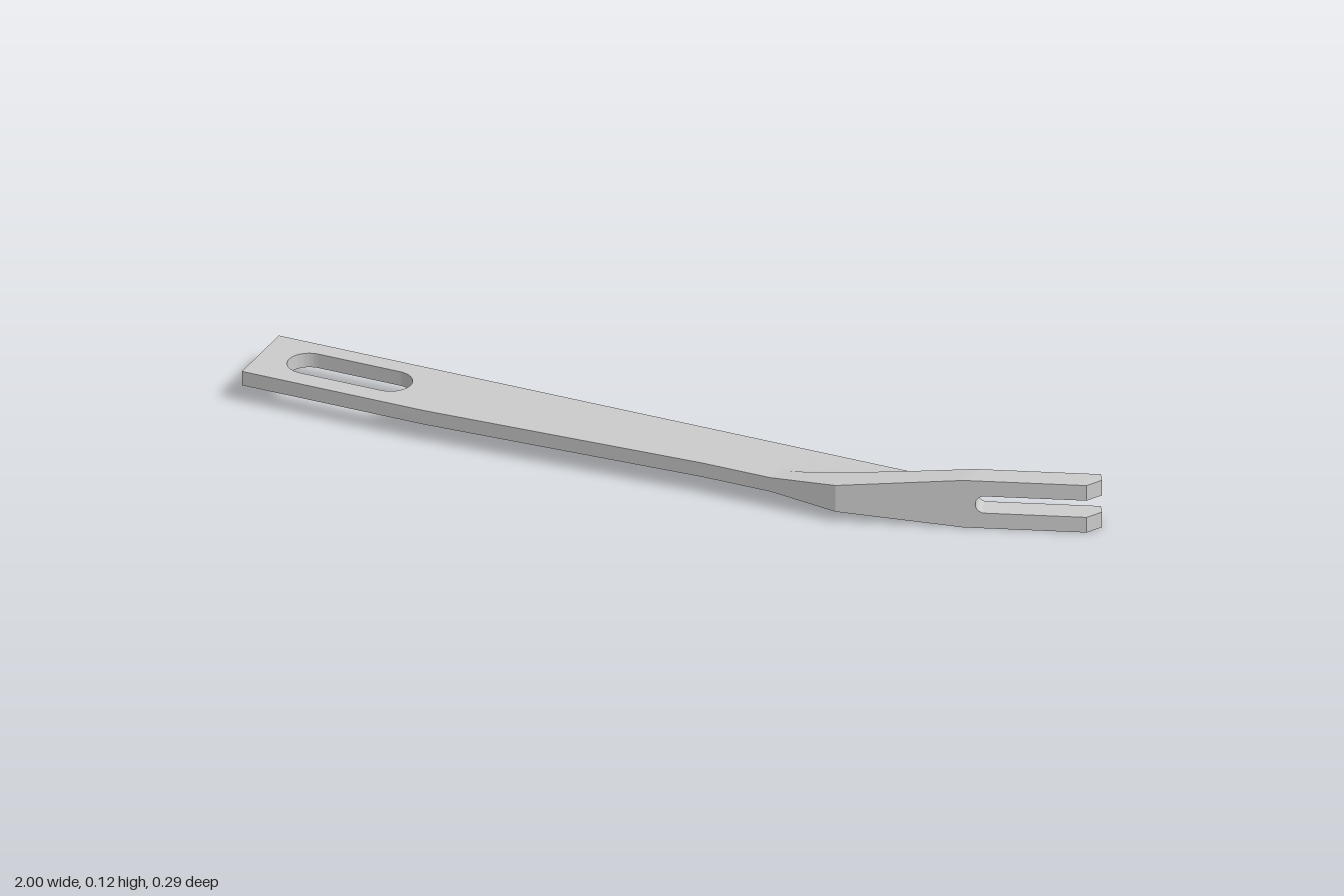
import * as THREE from 'three';
import { toCreasedNormals } from 'three/addons/utils/BufferGeometryUtils.js';

const MID = 0.059;        // height of the symmetry plane
const THIN = 0.0175;      // half thickness of the flat bar
const TALL = 0.059;       // half height of the fork
const R = TALL - THIN;    // fillet radius between bar and fork
const ANGLE = THREE.MathUtils.degToRad(20);
const BACK = -0.0485, FRONT = 0.112, BEND = 0.45, TAPER = 0.29, ROOT = 0.72;
const DEPTH = 0.058;      // fork thickness
const FORK_START = 0.3086, FORK_END = 0.564;

const material = new THREE.MeshStandardMaterial({ color: 0xcccccc });

function part(name, geometry) {
  const mesh = new THREE.Mesh(toCreasedNormals(geometry, 0.3), material);
  mesh.name = name;
  return mesh;
}

// Flat bar with a long slot
function flatBar() {
  const s = new THREE.Shape([
    [-1, BACK], [TAPER, BACK], [TAPER, FRONT], [0.12, FRONT], [-0.55, 0.145], [-1, 0.145],
  ].map(([x, z]) => new THREE.Vector2(x, z)));
  const slot = new THREE.Path();
  slot.absarc(-0.68, 0.046, 0.05, -Math.PI / 2, Math.PI / 2, false);
  slot.absarc(-0.88, 0.046, 0.05, Math.PI / 2, Math.PI * 1.5, false);
  slot.closePath();
  s.holes.push(slot);
  const g = new THREE.ExtrudeGeometry(s, { depth: 2 * THIN, bevelEnabled: false, curveSegments: 16 });
  g.rotateX(Math.PI / 2).translate(0, MID + THIN, 0);
  return part('flatBar', g);
}

// Flaring neck: cross-sections along x with a concave fillet towards the bar
function flaredNeck() {
  const STEPS = 10;
  const tan = Math.tan(ANGLE), cos = Math.cos(ANGLE);
  const section = (x) => {
    const rise = R * Math.min(1, (x - TAPER) / (ROOT - TAPER));
    const ridge = BACK + (ROOT - x) * tan;            // plane of the fork's back
    const reach = Math.max(0, (ridge - BACK) * cos);  // room left for the fillet
    const a0 = Math.asin(Math.max(0, 1 - rise / R));
    const a1 = Math.max(a0, Math.acos(Math.max(0, 1 - reach / R)));
    const top = [[x, THIN + rise, FRONT - Math.max(0, x - BEND) * tan]];
    for (let k = 0; k <= STEPS; k++) {
      const a = a0 + (a1 - a0) * k / STEPS;
      const z = ridge - R * (1 - Math.cos(a)) / cos;
      top.push([x, THIN + R * (1 - Math.sin(a)), Math.max(BACK, z)]);
    }
    top.push([x, top[STEPS + 1][1], BACK]);
    return top;
  };
  const sections = [];
  for (let i = 0; i < 10; i++) sections.push(section(TAPER + (BEND - TAPER) * (i / 10) ** 1.5));
  for (let i = 0; i <= 16; i++) sections.push(section(BEND + (ROOT - BEND) * i / 16));
  // last section is square to the fork
  const last = sections[sections.length - 1].map((p) => [...p]);
  last[0] = [BEND + FORK_START * cos, TALL, FRONT - FORK_START * Math.sin(ANGLE)];
  sections.push(last);

  const loops = sections.map((top) => [...top, ...top.map(([x, y, z]) => [x, -y, z]).reverse()]);
  const n = loops[0].length, pos = [], index = [];
  loops.forEach((loop) => loop.forEach(([x, y, z]) => pos.push(x, y + MID, z)));
  for (let i = 0; i < loops.length - 1; i++) {
    for (let j = 0; j < n; j++) {
      const a = i * n + j, b = i * n + (j + 1) % n;
      index.push(a, a + n, b, b, a + n, b + n);
    }
  }
  const g = new THREE.BufferGeometry();
  g.setAttribute('position', new THREE.Float32BufferAttribute(pos, 3));
  g.setIndex(index);
  return part('flaredNeck', g);
}

// Two-pronged fork, its tips bevelled to a blunt ridge
function fork() {
  const r = 0.021, c = 0.335;
  const s = new THREE.Shape();
  s.moveTo(FORK_START, -TALL);
  s.lineTo(FORK_END, -TALL);
  s.lineTo(FORK_END, -r);
  s.lineTo(c, -r);
  s.absarc(c, 0, r, -Math.PI / 2, -Math.PI * 1.5, true);
  s.lineTo(FORK_END, r);
  s.lineTo(FORK_END, TALL);
  s.lineTo(FORK_START, TALL);
  s.closePath();
  const g = new THREE.ExtrudeGeometry(s, { depth: DEPTH, steps: 2, bevelEnabled: false, curveSegments: 16 });
  g.translate(0, 0, -DEPTH);
  const p = g.attributes.position;
  for (let i = 0; i < p.count; i++) {
    if (p.getX(i) < FORK_END - 1e-4) continue;
    const layer = Math.round(-p.getZ(i) / DEPTH * 2);
    p.setX(i, FORK_END + [0, 0.032, 0.027][layer]);
  }
  const mesh = part('fork', g);
  mesh.position.set(BEND, MID, FRONT);
  mesh.rotation.y = ANGLE;
  return mesh;
}

export function createModel() {
  const model = new THREE.Group();
  model.name = 'forkedLever';
  model.add(flatBar(), flaredNeck(), fork());
  return model;
}
